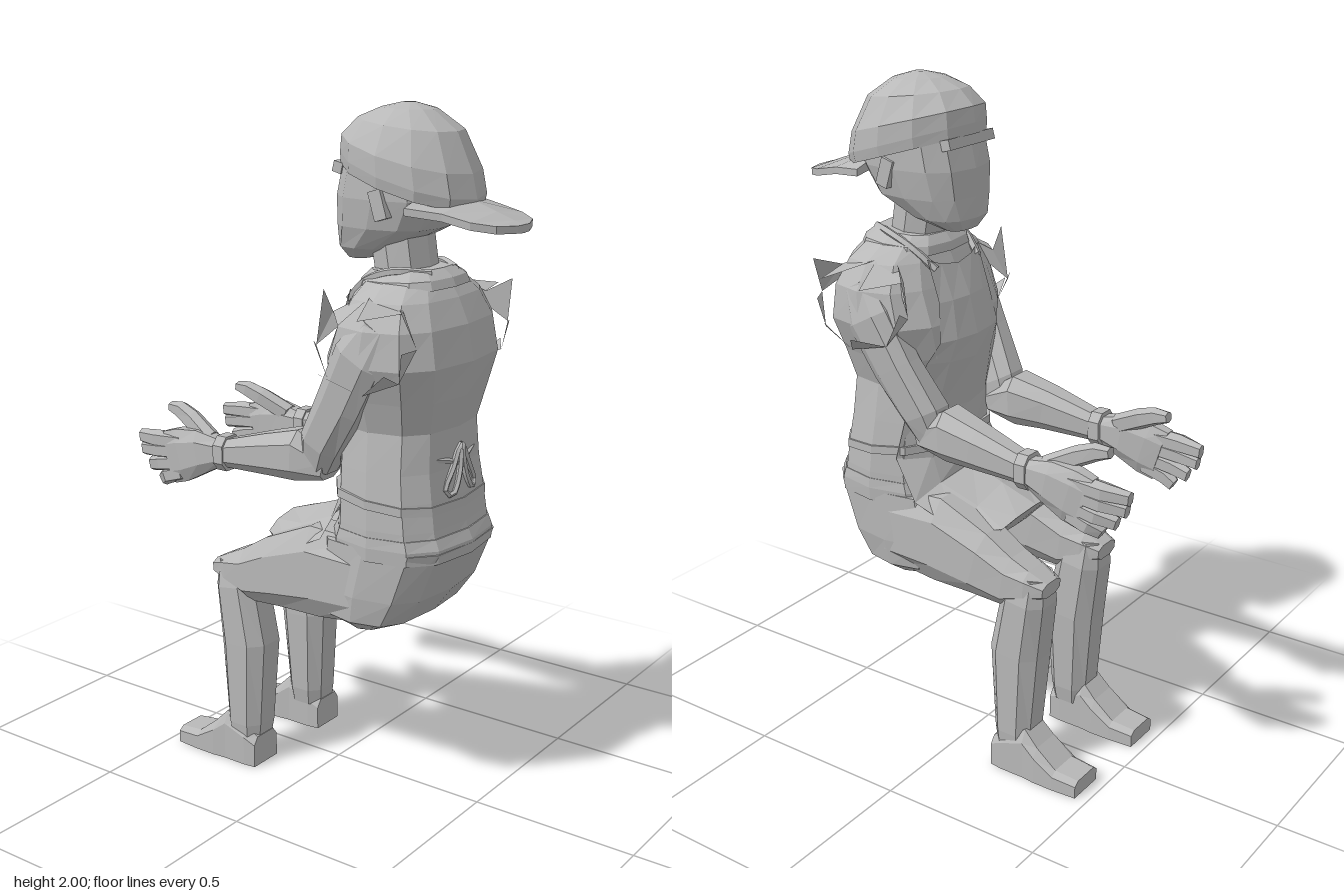
import * as THREE from 'three';

const grey = new THREE.MeshStandardMaterial({ color: 0xb8b8b8, flatShading: true, side: THREE.DoubleSide });
grey.name = 'plain grey';
const V = (x, y, z) => new THREE.Vector3(x, y, z);
const pow = (v, e) => Math.sign(v) * Math.abs(v) ** e;

function triMesh(name, pts) {
  const g = new THREE.BufferGeometry().setFromPoints(pts);
  g.computeVertexNormals();
  const m = new THREE.Mesh(g, grey);
  m.name = name;
  return m;
}

// Skin closed rings of points, cap both ends, and turn all faces outward
function loft(name, rings) {
  const tris = [], n = rings[0].length;
  for (let r = 0; r < rings.length - 1; r++) {
    for (let i = 0; i < n; i++) {
      const j = (i + 1) % n, a = rings[r], b = rings[r + 1];
      tris.push([a[i], a[j], b[j]], [a[i], b[j], b[i]]);
    }
  }
  const cap = (ring, flip) => {
    const c = ring.reduce((s, p) => s.add(p), V(0, 0, 0)).divideScalar(n);
    ring.forEach((p, i) => {
      const q = ring[(i + 1) % n];
      tris.push(flip ? [c, q, p] : [c, p, q]);
    });
  };
  cap(rings[0], true);
  cap(rings[rings.length - 1], false);
  const o = rings[0][0];
  const vol = tris.reduce((s, [a, b, c]) =>
    s + a.clone().sub(o).dot(b.clone().sub(o).cross(c.clone().sub(o))), 0);
  return triMesh(name, tris.flatMap(t => (vol < 0 ? [t[0], t[2], t[1]] : t)));
}

// Horizontal sections: [y, zFront, zBack, halfWidth, tilt]
function stack(name, rows, n = 12, e = 0.75) {
  return loft(name, rows.map(([y, z0, z1, w, tilt = 0]) => Array.from({ length: n }, (_, i) => {
    const a = i / n * Math.PI * 2, dz = pow(Math.cos(a), e) * (z1 - z0) / 2;
    return V(pow(Math.sin(a), e) * w, y - tilt * dz, (z0 + z1) / 2 + dz);
  })));
}

// Limb along a path in the side plane: [x, y, z, radiusX, radiusAcross]
function limb(name, rows, n = 8) {
  const c = rows.map(r => V(r[0], r[1], r[2]));
  return loft(name, rows.map((r, k) => {
    const t = c[Math.min(k + 1, c.length - 1)].clone().sub(c[Math.max(k - 1, 0)]);
    const v = V(0, -t.z, t.y).normalize();
    return Array.from({ length: n }, (_, i) => {
      const a = (i + 0.5) / n * Math.PI * 2;
      return c[k].clone().addScaledVector(v, pow(Math.sin(a), 0.75) * r[4]).add(V(pow(Math.cos(a), 0.75) * r[3], 0, 0));
    });
  }));
}

// Open sheet: [y, z, halfWidth, edgeDropY, edgeShiftZ]
function sheet(name, rows) {
  const cols = [-1, -0.6, 0, 0.6, 1], pts = [];
  const at = ([y, z, w, dy, dz], u) => V(u * w, y - dy * u * u, z + dz * u * u);
  for (let r = 0; r < rows.length - 1; r++) {
    for (let i = 0; i < cols.length - 1; i++) {
      const a = at(rows[r], cols[i]), b = at(rows[r], cols[i + 1]);
      const c = at(rows[r + 1], cols[i + 1]), d = at(rows[r + 1], cols[i]);
      pts.push(a, b, c, a, c, d);
    }
  }
  return triMesh(name, pts);
}

function box(name, w, h, d, x, y, z, rx = 0) {
  const m = new THREE.Mesh(new THREE.BoxGeometry(w, h, d), grey);
  m.name = name;
  m.position.set(x, y, z);
  m.rotation.x = rx;
  return m;
}

function tube(name, pts, r, closed = false) {
  const curve = new THREE.CatmullRomCurve3(pts.map(p => V(...p)), closed);
  const m = new THREE.Mesh(new THREE.TubeGeometry(curve, 14, r, 5, closed), grey);
  m.name = name;
  return m;
}

export function createModel() {
  const root = new THREE.Group();

  // Head, facing -z, with a cap worn backwards
  const head = new THREE.Group();
  head.name = 'head';
  head.add(
    stack('face', [[1.575, 0.06, 0.13, 0.06], [1.61, 0.04, 0.22, 0.11], [1.67, 0.04, 0.34, 0.14],
      [1.75, 0.042, 0.39, 0.155], [1.85, 0.065, 0.4, 0.155]]),
    stack('neck', [[1.46, 0.14, 0.33, 0.09], [1.55, 0.155, 0.31, 0.09], [1.68, 0.13, 0.29, 0.09]], 8),
    stack('cap', [[1.785, 0.045, 0.445, 0.175, 0.3], [1.815, 0.045, 0.45, 0.18, 0.3], [1.87, 0.05, 0.435, 0.178, 0.26],
      [1.945, 0.095, 0.385, 0.135, 0.12], [1.985, 0.16, 0.31, 0.075, 0.04], [2, 0.215, 0.25, 0.015]], 12, 0.95),
    loft('capBill', [[0.33, 1.79, 0.17, 0.05], [0.43, 1.755, 0.145, 0.025], [0.51, 1.728, 0.135, 0.015], [0.565, 1.708, 0.095, 0.005], [0.592, 1.7, 0.03, 0]]
      .map(([z, y, w, d]) => [V(-w, y - d, z), V(0, y, z), V(w, y - d, z),
        V(w, y - d - 0.02, z), V(0, y - 0.022, z), V(-w, y - d - 0.02, z)])),
    box('visor', 0.21, 0.03, 0.03, 0, 1.825, 0.07, 0.25));
  root.add(head);

  // Torso, vest and hips
  root.add(
    stack('vest', [[0.79, 0.07, 0.455, 0.235], [0.86, 0.085, 0.44, 0.235], [0.94, 0.085, 0.428, 0.23], [1.02, 0.085, 0.415, 0.22],
      [1.13, 0.08, 0.41, 0.205], [1.22, 0.06, 0.432, 0.235], [1.32, 0.06, 0.452, 0.275], [1.42, 0.1, 0.432, 0.265],
      [1.49, 0.13, 0.4, 0.22], [1.54, 0.15, 0.365, 0.145]]),
    stack('collar', [[1.51, 0.125, 0.39, 0.165, -0.05], [1.535, 0.13, 0.38, 0.155, -0.05], [1.56, 0.15, 0.35, 0.115, -0.05]]),
    stack('waistBand', [[0.92, 0.075, 0.435, 0.236, 0.1], [0.945, 0.075, 0.433, 0.236, 0.1]]),
    stack('vestHem', [[0.77, 0.065, 0.46, 0.238], [0.81, 0.065, 0.462, 0.24], [0.84, 0.08, 0.448, 0.237]]),
    stack('hips', [[0.53, 0.13, 0.25, 0.17], [0.57, 0.06, 0.34, 0.225], [0.65, 0.03, 0.4, 0.235], [0.8, 0.04, 0.462, 0.235]], 12, 0.65));

  // Apron: bib over the chest, lap panel draped on the thighs
  root.add(
    sheet('apronBib', [[1.47, 0.105, 0.12, -0.03, 0.02], [1.38, 0.065, 0.12, 0, 0.02], [1.27, 0.038, 0.14, 0, 0.03],
      [1.2, 0.045, 0.17, -0.01, 0.05], [1.05, 0.07, 0.2, 0, 0.08], [0.92, 0.07, 0.225, 0, 0.1]]),
    sheet('apronLap', [[0.92, 0.07, 0.225, 0, 0.1], [0.86, 0.06, 0.23, 0.06, 0.04], [0.82, -0.05, 0.2, 0.09, 0.01],
      [0.78, -0.17, 0.145, 0.03, 0.02], [0.69, -0.095, 0.15, 0.01, 0.02]]));

  for (const s of [1, -1]) {
    const side = s > 0 ? 'left' : 'right';
    const m = rows => rows.map(([x, ...rest]) => [x * s, ...rest]);

    // Apron strap, bow loop and ear
    root.add(
      tube(side + 'ApronStrap', m([[0.1, 1.47, 0.11], [0.125, 1.53, 0.18], [0.12, 1.56, 0.26], [0.06, 1.555, 0.35]]), 0.012),
      tube(side + 'BowLoop', m([[0.005, 1.08, 0.418], [0.04, 1.02, 0.418], [0.075, 0.96, 0.415], [0.05, 0.945, 0.424], [0.015, 1.0, 0.424]]), 0.009, true),
      tube(side + 'ApronString', m([[0.01, 1.03, 0.417], [0.1, 1.05, 0.393], [0.185, 1.04, 0.345]]), 0.008),
      box(side + 'Ear', 0.025, 0.08, 0.04, s * 0.15, 1.74, 0.24, -0.3));

    // Arm
    const arm = new THREE.Group();
    arm.name = side + 'Arm';
    arm.add(
      limb('upperArm', m([[0.22, 1.43, 0.29, 0.035, 0.055], [0.23, 1.34, 0.24, 0.05, 0.08], [0.215, 1.2, 0.165, 0.05, 0.075],
        [0.188, 1.07, 0.085, 0.062, 0.068], [0.178, 1, 0.06, 0.05, 0.05]])),
      limb('forearm', m([[0.175, 1, 0.1, 0.05, 0.04], [0.175, 1.025, 0.005, 0.075, 0.08],
        [0.185, 1.01, -0.1, 0.06, 0.065], [0.193, 0.985, -0.26, 0.04, 0.043]])),
      limb('wristCuff', m([[0.193, 0.985, -0.25, 0.046, 0.055], [0.193, 0.985, -0.285, 0.046, 0.055]])),
      limb('palm', m([[0.195, 0.985, -0.27, 0.036, 0.04], [0.2, 0.975, -0.35, 0.042, 0.07],
        [0.203, 0.955, -0.42, 0.038, 0.085], [0.205, 0.94, -0.47, 0.03, 0.085]])),
      limb('thumb', m([[0.19, 1.01, -0.33, 0.03, 0.03], [0.168, 1.055, -0.42, 0.028, 0.03],
        [0.16, 1.075, -0.47, 0.024, 0.026], [0.158, 1.08, -0.51, 0.018, 0.016]]), 6));
    [[0.995, 0.982, -0.598], [0.965, 0.945, -0.59], [0.93, 0.9, -0.56], [0.9, 0.86, -0.515]].forEach(([y0, y1, z1], i) =>
      arm.add(limb('finger' + (i + 1), m([[0.205, y0, -0.42, 0.032, 0.026], [0.208, (y0 + y1) / 2, z1 * 0.5 - 0.225, 0.03, 0.026],
        [0.198, y1, z1, 0.016, 0.022]]), 6)));
    root.add(arm);

    // Torn sleeve: jagged points fanned round the armhole
    const tips = [[0.375, 1.32, 0.2], [0.27, 1.38, 0.11], [0.25, 1.52, 0.13], [0.31, 1.44, 0.22], [0.36, 1.47, 0.315],
      [0.29, 1.5, 0.4], [0.28, 1.38, 0.4], [0.3, 1.32, 0.36]];
    const rim = i => {
      const a = i / tips.length * Math.PI * 2 - Math.PI / 2 - 0.1;
      return V(s * (0.24 - 0.04 * Math.sin(a)), 1.375 + 0.125 * Math.sin(a), 0.26 - 0.16 * Math.cos(a));
    };
    const inner = V(s * 0.13, 1.53, 0.26);
    root.add(triMesh(side + 'TornSleeve', tips.flatMap(([x, y, z], i) => {
      const a = rim(i), b = rim(i + 1), tri = [a, b, V(s * x, y, z)];
      return i > 1 && i < 6 ? [...tri, inner, b, a] : tri;
    })));

    // Leg
    const leg = new THREE.Group();
    leg.name = side + 'Leg';
    leg.add(
      limb('thigh', m([[0.135, 0.68, 0.22, 0.1, 0.13], [0.15, 0.68, 0.05, 0.085, 0.145], [0.152, 0.645, -0.1, 0.083, 0.112],
        [0.152, 0.615, -0.2, 0.078, 0.085], [0.152, 0.62, -0.27, 0.07, 0.05], [0.152, 0.615, -0.325, 0.05, 0.025]])),
      limb('shin', m([[0.15, 0.65, -0.26, 0.06, 0.06], [0.15, 0.57, -0.25, 0.077, 0.075], [0.15, 0.39, -0.222, 0.077, 0.085],
        [0.155, 0.13, -0.22, 0.069, 0.065], [0.157, 0.08, -0.22, 0.062, 0.058]])));
    const shoe = [[-0.162, 0.095, 0.055], [-0.2, 0.12, 0.06], [-0.275, 0.155, 0.06], [-0.32, 0.11, 0.065], [-0.385, 0.058, 0.065], [-0.462, 0.05, 0.06]];
    leg.add(loft('shoe', shoe.map(([z, h, w]) => {
      const c = s * 0.162;
      return [V(c - w, 0, z), V(c + w, 0, z), V(c + w, h * 0.75, z), V(c + w * 0.7, h, z), V(c - w * 0.7, h, z), V(c - w, h * 0.75, z)];
    })));
    root.add(leg);
  }
  return root;
}
